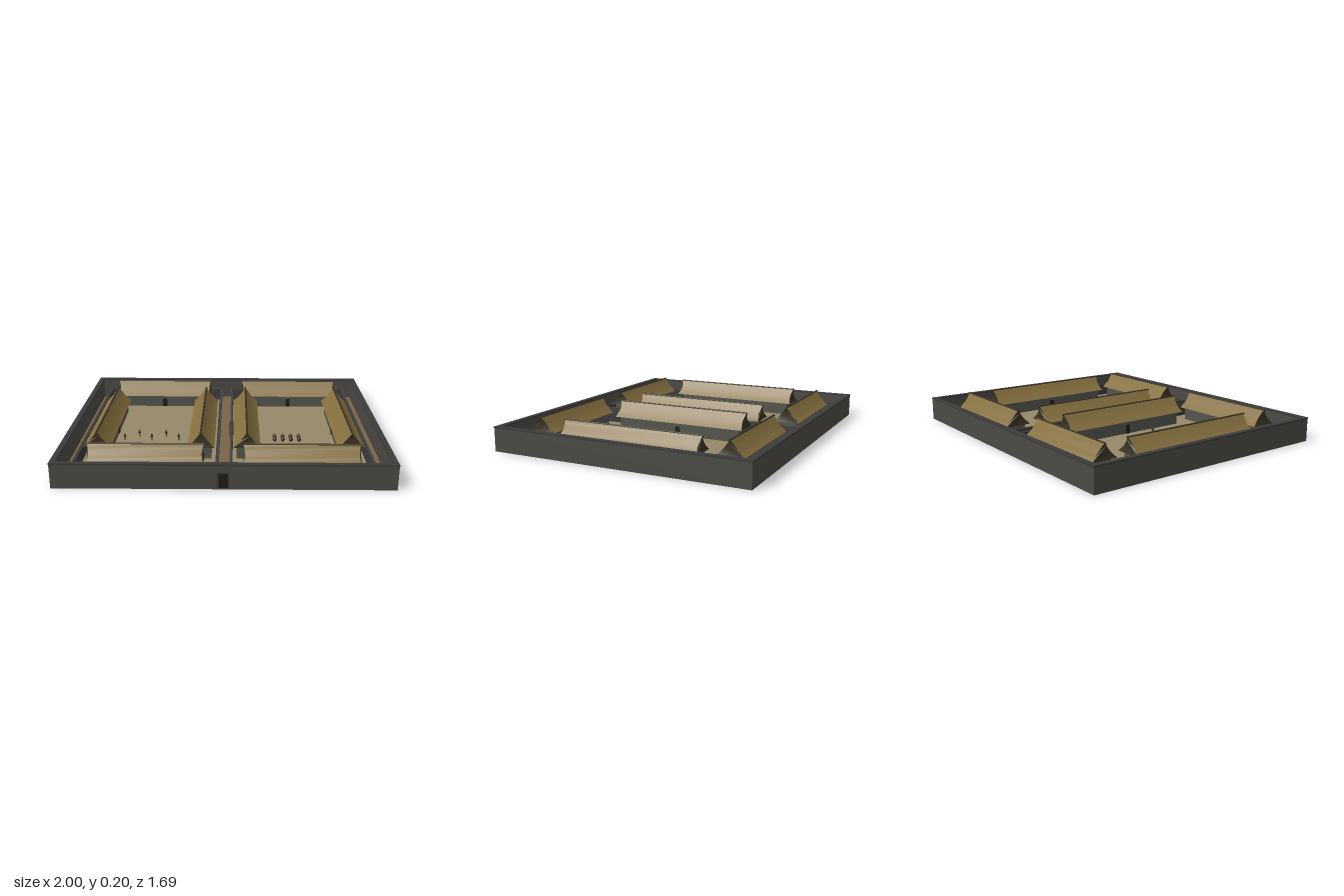
import * as THREE from 'three';
import { toCreasedNormals } from 'three/addons/utils/BufferGeometryUtils.js';

const mat = (color, side = THREE.FrontSide) => new THREE.MeshStandardMaterial({ color, side });
const stone = mat(0x4c4a45), wallDark = mat(0x3b3c3b), plaster = mat(0x55554f);
const earth = mat(0x79644a), sand = mat(0x968869), thatch = mat(0x86703f);
const gable = mat(0x3a3223), wood = mat(0x241c17), clay = mat(0x3d261d);

const FLOOR = 0.016, EAVE = 0.1, RIDGE = 0.196;

function add(parent, name, geometry, material, x = 0, y = 0, z = 0) {
  const mesh = new THREE.Mesh(geometry, material);
  mesh.name = name;
  mesh.position.set(x, y, z);
  parent.add(mesh);
  return mesh;
}

// Box given by its lower and upper corners
function block(parent, name, material, x0, x1, y0, y1, z0, z1) {
  return add(parent, name, new THREE.BoxGeometry(x1 - x0, y1 - y0, z1 - z0), material,
    (x0 + x1) / 2, (y0 + y1) / 2, (z0 + z1) / 2);
}

// Rectangular ring of wall, extruded upwards
function ring(parent, name, material, x0, x1, z0, z1, thick, y0, y1) {
  const rect = (T, d) => {
    const s = new T();
    s.moveTo(x0 + d, -z1 + d);
    s.lineTo(x1 - d, -z1 + d);
    s.lineTo(x1 - d, -z0 - d);
    s.lineTo(x0 + d, -z0 - d);
    s.closePath();
    return s;
  };
  const shape = rect(THREE.Shape, 0);
  shape.holes.push(rect(THREE.Path, thick));
  const geo = new THREE.ExtrudeGeometry(shape, { depth: y1 - y0, bevelEnabled: false });
  geo.rotateX(-Math.PI / 2);
  return add(parent, name, geo, material, 0, y0, 0);
}

// Long house along local x: walls, curved thatch, ridge pole and a door on local +z
function longhouse(parent, name, length, x, z, turn) {
  const house = new THREE.Group();
  house.name = name;
  house.position.set(x, 0, z);
  house.rotation.y = turn;
  parent.add(house);
  const w = 0.085, h = RIDGE - EAVE, l = length / 2;

  block(house, 'houseWalls', plaster, -l + 0.03, l - 0.03, 0.008, EAVE + 0.005, -0.064, 0.064);

  // Slightly concave slopes on both sides of the ridge
  const s = new THREE.Shape();
  s.moveTo(-w, 0);
  s.lineTo(w, 0);
  s.quadraticCurveTo(w * 0.46, h * 0.42, 0.004, h);
  s.lineTo(-0.004, h);
  s.quadraticCurveTo(-w * 0.46, h * 0.42, -w, 0);
  let roof = new THREE.ExtrudeGeometry(s, { depth: length, bevelEnabled: false, curveSegments: 6 });
  roof.translate(0, 0, -l);
  roof.rotateY(Math.PI / 2);
  // Ends draw in a little halfway up the slope
  const p = roof.attributes.position;
  for (let i = 0; i < p.count; i++) {
    const t = p.getY(i) / h;
    p.setX(i, p.getX(i) - Math.sign(p.getX(i)) * 0.012 * Math.sin(Math.PI * t));
  }
  roof = toCreasedNormals(roof, 0.6);
  add(house, 'thatchRoof', roof, [gable, thatch], 0, EAVE, 0);

  const pole = new THREE.CylinderGeometry(0.006, 0.006, length + 0.008, 8);
  pole.rotateZ(Math.PI / 2);
  add(house, 'ridgePole', pole, gable, 0, RIDGE, 0);

  block(house, 'houseDoor', wood, -0.016, 0.016, FLOOR, 0.075, 0.06, 0.068);
}

// Courtyard with its wall, floor and four houses facing inwards
function courtyard(parent, name, x0, x1, houses) {
  const yard = new THREE.Group();
  yard.name = name;
  parent.add(yard);
  ring(yard, 'courtyardWall', wallDark, x0, x1, -0.745, 0.73, 0.016, 0.008, 0.1);
  ring(yard, 'wallCoping', stone, x0 - 0.002, x1 + 0.002, -0.747, 0.732, 0.006, 0.096, 0.103);
  block(yard, 'courtyardFloor', sand, x0 + 0.012, x1 - 0.012, 0.009, FLOOR, -0.733, 0.718);
  longhouse(yard, 'backHouse', 0.695, houses.mid, -0.637, 0);
  longhouse(yard, 'frontHouse', 0.695, houses.mid, 0.63, Math.PI);
  longhouse(yard, 'rightHouse', 0.925, houses.right, -0.003, Math.PI / 2);
  longhouse(yard, 'leftHouse', 0.925, houses.left, -0.003, -Math.PI / 2);
  return yard;
}

// Turned shape from [radius, height] pairs
const turned = (pts, n) =>
  new THREE.LatheGeometry(pts.map(([r, y]) => new THREE.Vector2(r, y)), n);

export function createModel() {
  const model = new THREE.Group();
  model.name = 'walledCompound';

  // Ground and outer wall
  block(model, 'ground', earth, -0.97, 0.97, 0.004, 0.012, -0.815, 0.81);
  ring(model, 'outerWall', stone, -0.998, 0.998, -0.842, 0.836, 0.03, 0, 0.15);
  ring(model, 'outerWallCoping', wallDark, -1, 1, -0.845, 0.838, 0.034, 0.146, 0.156);

  // Main gate in the front wall, seen from both sides
  const gate = new THREE.Group();
  gate.name = 'mainGate';
  model.add(gate);
  block(gate, 'gateLeaf', wood, -0.03, 0.026, 0.012, 0.102, 0.8, 0.842);
  for (const x of [-0.034, 0.03])
    block(gate, 'gatePost', wallDark, x - 0.005, x + 0.005, 0.008, 0.108, 0.8, 0.845);
  block(gate, 'gateLintel', wallDark, -0.039, 0.035, 0.1, 0.11, 0.8, 0.845);

  // Two courtyards
  const yardA = courtyard(model, 'rightCourtyard', -0.9, -0.035, { mid: -0.467, right: -0.793, left: -0.147 });
  const yardB = courtyard(model, 'leftCourtyard', 0.035, 0.895, { mid: 0.463, right: 0.14, left: 0.787 });

  // Side gates of the courtyards
  block(yardA, 'courtyardGate', wood, -0.505, -0.435, 0.012, 0.09, 0.71, 0.738);
  block(yardB, 'courtyardGate', wood, 0.028, 0.055, 0.012, 0.09, -0.035, 0.03);

  // Staggered posts with pointed heads
  const post = turned([[0, 0], [0.003, 0], [0.003, 0.02], [0.008, 0.024], [0.007, 0.034], [0, 0.052]], 8);
  for (let i = 0; i < 5; i++)
    add(yardA, 'trainingPost', post, clay, -0.67 + i * 0.09, FLOOR, i % 2 ? 0.06 : 0.128);

  // Two rows of lidded jars
  const jar = turned([[0, 0], [0.009, 0], [0.014, 0.009], [0.012, 0.018], [0.005, 0.028], [0, 0.038]], 12);
  for (let i = 0; i < 4; i++)
    for (const z of [0.075, 0.128])
      add(yardB, 'jar', jar, clay, 0.33 + i * 0.054, FLOOR, z);

  return model;
}
